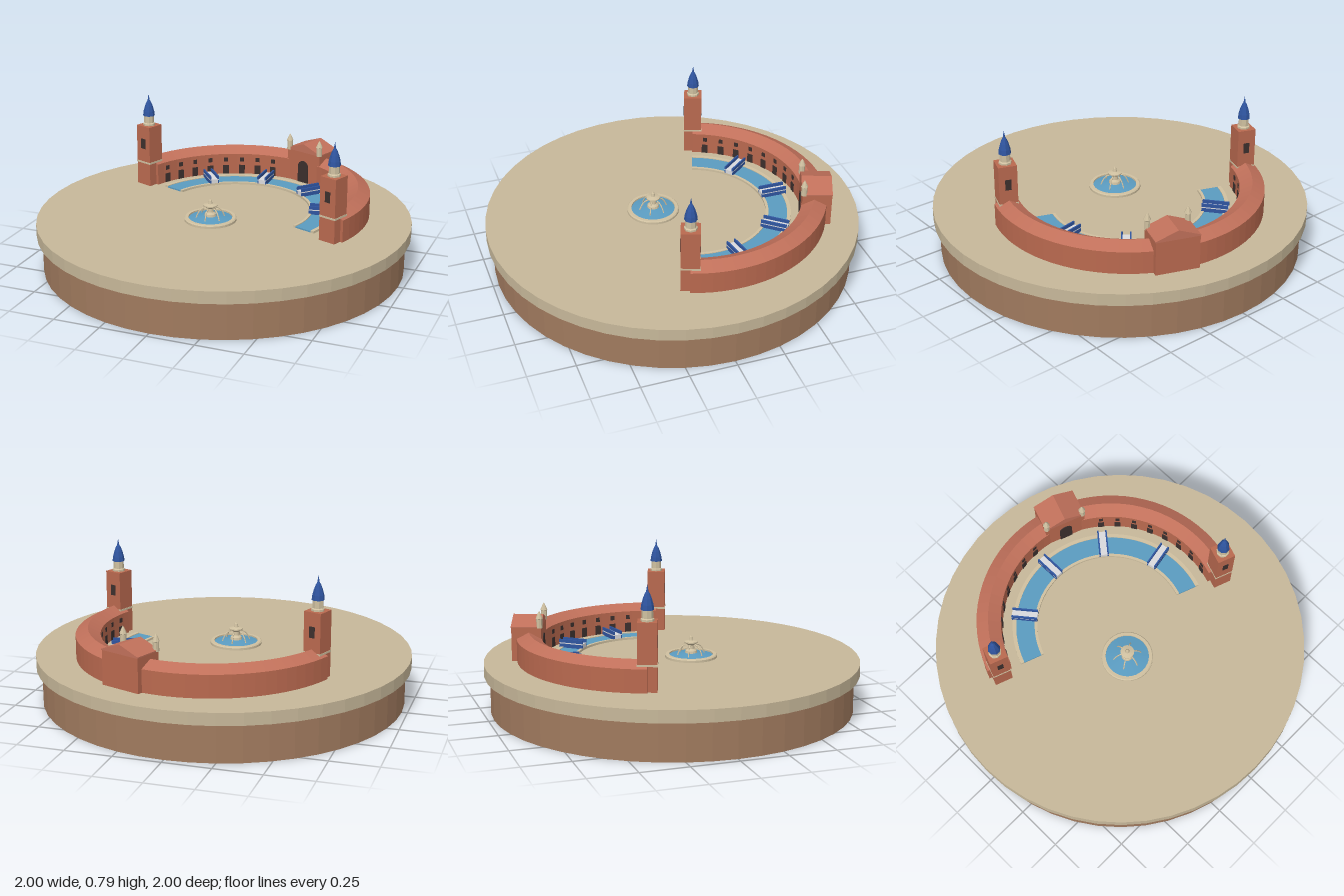
import * as THREE from 'three';

const paint = (name, color) => {
  const m = new THREE.MeshStandardMaterial({ color, flatShading: true });
  m.name = name;
  return m;
};

export function createModel() {
  const sand = paint('sand paving', 0xc6b799);
  const earth = paint('earth', 0xa07a5e);
  const brick = paint('brick', 0xb9694f);
  const roofTile = paint('roof tile', 0xc0705a);
  const stone = paint('pale stone', 0xcfc0a0);
  const water = paint('water', 0x5a9bc0);
  const blue = paint('blue tile', 0x2f55a0);
  const white = paint('white tile', 0xd9d9dc);
  const dark = paint('dark opening', 0x3b2f2d);

  const model = new THREE.Group();
  model.name = 'plazaModel';

  const add = (parent, name, geo, mat, x = 0, y = 0, z = 0) => {
    const mesh = new THREE.Mesh(geo, mat);
    mesh.name = name;
    mesh.position.set(x, y, z);
    parent.add(mesh);
    return mesh;
  };
  const group = (parent, name) => {
    const g = new THREE.Group();
    g.name = name;
    parent.add(g);
    return g;
  };
  const box = (w, h, d) => new THREE.BoxGeometry(w, h, d);
  const lathe = (pts, n, start = 0, len = Math.PI * 2) =>
    new THREE.LatheGeometry(pts.map(p => new THREE.Vector2(...p)), n, start, len);

  // Half ring swept from an (r, y) profile, closed at both ends
  const halfRing = (parent, name, profile, mat) => {
    const g = group(parent, name);
    add(g, name + 'Sweep', lathe([...profile, profile[0]], 40, Math.PI / 2, Math.PI), mat);
    for (const s of [1, -1]) {
      const shape = new THREE.Shape(profile.map(([r, y]) => new THREE.Vector2(s * r, y)));
      add(g, name + 'End', new THREE.ShapeGeometry(shape), mat);
    }
  };
  const rect = (r0, r1, y0, y1) => [[r1, y0], [r1, y1], [r0, y1], [r0, y0]];

  // Put an object on the arc, facing its centre; 0 degrees is the middle
  const onArc = (obj, deg, r) => {
    const a = THREE.MathUtils.degToRad(deg);
    obj.position.x = r * Math.sin(a);
    obj.position.z = -r * Math.cos(a);
    obj.rotation.y = -a;
  };

  // Round base
  add(model, 'baseSoil', new THREE.CylinderGeometry(0.97, 0.97, 0.2, 48), earth, 0, 0.1, 0);
  add(model, 'basePaving', new THREE.CylinderGeometry(1, 1, 0.065, 48), sand, 0, 0.2325, 0);

  // Everything on the arc shares one turned frame
  const plaza = group(model, 'plaza');
  plaza.position.set(0.03, 0.265, -0.1);
  plaza.rotation.y = -THREE.MathUtils.degToRad(20);

  // Curved gallery with gabled roof
  halfRing(plaza, 'galleryWall', rect(0.59, 0.72, 0, 0.12), brick);
  halfRing(plaza, 'galleryRoof', [[0.72, 0.12], [0.655, 0.155], [0.59, 0.12]], roofTile);
  for (const s of [1, -1]) {
    for (let k = 0; k < 8; k++) {
      const deg = s * (20 + 9 * k);
      onArc(add(plaza, 'galleryDoor', box(0.034, 0.052, 0.008), dark, 0, 0.027, 0), deg, 0.59);
      onArc(add(plaza, 'galleryWindow', box(0.022, 0.024, 0.008), dark, 0, 0.087, 0), deg, 0.59);
    }
  }

  // Canal with stone edges
  halfRing(plaza, 'canalInnerEdge', rect(0.4, 0.415, 0, 0.012), stone);
  halfRing(plaza, 'canalOuterEdge', rect(0.515, 0.535, 0, 0.012), stone);
  halfRing(plaza, 'canalWater', rect(0.415, 0.515, 0, 0.008), water);

  // Four bridges with blue railings
  for (const deg of [-59, -20, 20, 59]) {
    const bridge = group(plaza, 'bridge');
    add(bridge, 'bridgeDeck', box(0.04, 0.03, 0.14), white, 0, 0.02, 0);
    for (const s of [1, -1]) {
      add(bridge, 'bridgeSide', box(0.007, 0.028, 0.14), blue, s * 0.0225, 0.016, 0);
      add(bridge, 'bridgeParapet', box(0.007, 0.006, 0.14), white, s * 0.0225, 0.033, 0);
      add(bridge, 'bridgeRail', box(0.008, 0.018, 0.14), blue, s * 0.0225, 0.045, 0);
    }
    onArc(bridge, deg, 0.47);
  }

  // Central pavilion
  const pavilion = group(plaza, 'pavilion');
  pavilion.position.z = -0.66;
  add(pavilion, 'pavilionWalls', box(0.23, 0.18, 0.156), brick, 0, 0.09, 0);
  const gable = new THREE.Shape([[-0.117, 0.18], [0.117, 0.18], [0.117, 0.186], [0, 0.23], [-0.117, 0.186]]
    .map(p => new THREE.Vector2(...p)));
  add(pavilion, 'pavilionRoof',
    new THREE.ExtrudeGeometry(gable, { depth: 0.16, bevelEnabled: false }), roofTile, 0, 0, -0.08);
  const arch = new THREE.Shape();
  arch.moveTo(-0.036, 0);
  arch.lineTo(0.036, 0);
  arch.lineTo(0.036, 0.092);
  arch.absarc(0, 0.092, 0.036, 0, Math.PI);
  arch.lineTo(-0.036, 0);
  add(pavilion, 'pavilionDoor',
    new THREE.ExtrudeGeometry(arch, { depth: 0.006, bevelEnabled: false, curveSegments: 10 }), dark, 0, 0, 0.076);
  for (const s of [1, -1]) {
    add(pavilion, 'pinnacle',
      lathe([[0, 0], [0.016, 0], [0.016, 0.05], [0.019, 0.052], [0.008, 0.078], [0, 0.092]], 8),
      stone, s * 0.106, 0.178, 0.07);
  }

  // End towers
  for (const s of [1, -1]) {
    const tower = group(plaza, s > 0 ? 'leftTower' : 'rightTower');
    tower.position.x = s * 0.655;
    add(tower, 'towerShaft', box(0.098, 0.345, 0.098), brick, 0, 0.1725, 0);
    add(tower, 'towerBand', box(0.102, 0.01, 0.102), stone, 0, 0.133, 0);
    for (const f of [1, -1]) {
      add(tower, 'towerWindow', box(0.032, 0.058, 0.006), dark, 0, 0.243, f * 0.048);
    }
    add(tower, 'towerBelfry', lathe([[0.034, 0.34], [0.034, 0.355], [0.028, 0.36], [0.028, 0.405], [0, 0.405]], 8), stone);
    add(tower, 'towerDome',
      lathe([[0, 0.4], [0.033, 0.4], [0.03, 0.425], [0.022, 0.455], [0.013, 0.478], [0.006, 0.49], [0, 0.525]], 8), blue);
  }

  // Fountain
  const fountain = group(model, 'fountain');
  fountain.position.set(-0.04, 0.265, 0.094);
  add(fountain, 'fountainRim', lathe([[0.139, 0], [0.139, 0.012], [0.134, 0.017], [0.117, 0.017], [0.117, 0]], 32), stone);
  add(fountain, 'fountainWater', lathe([[0.117, 0.009], [0, 0.028]], 32), water);
  add(fountain, 'fountainPedestal',
    lathe([[0.034, 0.015], [0.03, 0.035], [0.018, 0.045], [0.016, 0.065], [0.037, 0.078], [0.037, 0.084],
      [0.012, 0.09], [0.008, 0.108], [0, 0.12]], 16), stone);
  for (let k = 0; k < 6; k++) {
    const jet = group(fountain, 'fountainJet');
    jet.rotation.y = (k + 0.5) * Math.PI / 3;
    const curve = new THREE.QuadraticBezierCurve3(
      new THREE.Vector3(0.03, 0.068, 0), new THREE.Vector3(0.058, 0.068, 0), new THREE.Vector3(0.076, 0.014, 0));
    add(jet, 'jetSpout', new THREE.TubeGeometry(curve, 6, 0.0035, 5), stone);
  }

  return model;
}
